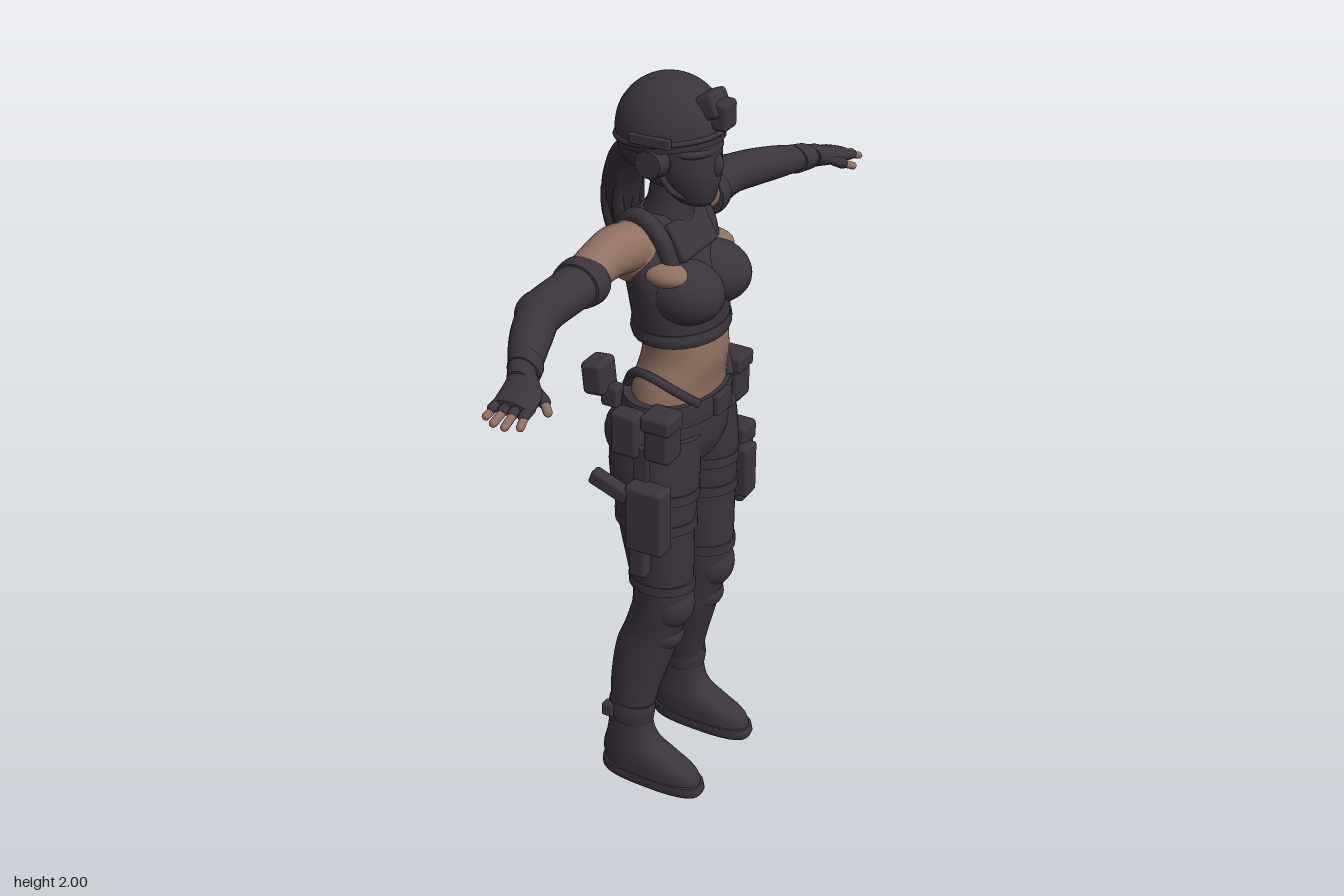
import * as THREE from 'three';
import { RoundedBoxGeometry } from 'three/addons/geometries/RoundedBoxGeometry.js';

const cloth = new THREE.MeshStandardMaterial({ color: 0x3b343c, side: THREE.DoubleSide });
cloth.name = 'dark cloth';
const skin = new THREE.MeshStandardMaterial({ color: 0x8f7060 });
skin.name = 'skin';
const hair = new THREE.MeshStandardMaterial({ color: 0x352e36 });
hair.name = 'hair';

// Smooth closed body through sections [t, centreA, centreB, radiusA, radiusB].
// Along 'y' A,B are x,z; along 'z' they are x,y. A power below 1 squares the section.
function loft(sections, axis = 'y', power = 1, n = 28, sub = 4) {
  const rows = [];
  for (let i = 0; i < sections.length - 1; i++) {
    const [p0, p1, p2, p3] = [-1, 0, 1, 2].map(k =>
      sections[Math.min(Math.max(i + k, 0), sections.length - 1)]);
    for (let s = 0; s < sub; s++) {
      const u = s / sub;
      rows.push(p1.map((v, k) => 0.5 * (2 * v + (p2[k] - p0[k]) * u
        + (2 * p0[k] - 5 * v + 4 * p2[k] - p3[k]) * u * u
        + (3 * v - p0[k] - 3 * p2[k] + p3[k]) * u * u * u)));
    }
  }
  rows.push(sections[sections.length - 1]);
  const pos = [], idx = [];
  const put = (t, a, b) => (axis === 'y' ? pos.push(a, t, b) : pos.push(a, b, t));
  const bend = v => Math.sign(v) * Math.abs(v) ** power;
  for (const [t, a, b, ra, rb] of rows) {
    for (let j = 0; j < n; j++) {
      const th = (j / n) * Math.PI * 2;
      put(t, a + ra * bend(Math.cos(th)), b + rb * bend(Math.sin(th)));
    }
  }
  const last = rows.length - 1;
  const flip = (axis === 'y') !== (rows[last][0] < rows[0][0]);
  const tri = (a, b, c) => (flip ? idx.push(a, c, b) : idx.push(a, b, c));
  for (let i = 0; i < last; i++) {
    for (let j = 0; j < n; j++) {
      const a = i * n + j, b = i * n + (j + 1) % n;
      tri(a, b, a + n);
      tri(b, b + n, a + n);
    }
  }
  // end caps with their own corners so the rims stay crisp
  for (const [row, front] of [[0, false], [last, true]]) {
    const base = pos.length / 3;
    for (let j = 0; j < n; j++) pos.push(...pos.slice((row * n + j) * 3, (row * n + j) * 3 + 3));
    put(rows[row][0], rows[row][1], rows[row][2]);
    for (let j = 0; j < n; j++) {
      const a = base + j, b = base + (j + 1) % n;
      front ? tri(a, b, base + n) : tri(b, a, base + n);
    }
  }
  const g = new THREE.BufferGeometry();
  g.setAttribute('position', new THREE.Float32BufferAttribute(pos, 3));
  g.setIndex(idx);
  g.computeVertexNormals();
  return g;
}

const ball = (x, y, z, rx, ry, rz) => new THREE.SphereGeometry(1, 28, 20).scale(rx, ry, rz).translate(x, y, z);
const box = (x, y, z, w, h, d, tilt = 0) =>
  new RoundedBoxGeometry(w, h, d, 2, Math.min(w, h, d) * 0.22).rotateZ(tilt).translate(x, y, z);

// Rounded rod between two points
function rod(a, b, r) {
  const p = new THREE.Vector3(...a), d = new THREE.Vector3(...b).sub(p);
  const q = new THREE.Quaternion().setFromUnitVectors(new THREE.Vector3(0, 1, 0), d.clone().normalize());
  return new THREE.CapsuleGeometry(r, d.length(), 4, 10).applyQuaternion(q).translate(...p.addScaledVector(d, 0.5).toArray());
}

const tube = (pts, r) => new THREE.TubeGeometry(
  new THREE.CatmullRomCurve3(pts.map(p => new THREE.Vector3(...p))), 24, r, 8);

export function createModel() {
  const model = new THREE.Group();
  const add = (name, geo, mat = cloth) => {
    const m = new THREE.Mesh(geo, mat);
    m.name = name;
    model.add(m);
  };

  // Head and helmet
  add('head', ball(0.05, 1.83, 0, 0.11, 0.12, 0.088));
  add('faceMask', loft([[1.69, 0.11, 0, 0.035, 0.03], [1.71, 0.1, 0, 0.057, 0.052], [1.76, 0.085, 0, 0.082, 0.075],
    [1.81, 0.075, 0, 0.092, 0.085], [1.87, 0.065, 0, 0.1, 0.088]]));
  add('nose', ball(0.162, 1.795, 0, 0.016, 0.03, 0.018));
  add('goggles', ball(0.1, 1.835, 0, 0.068, 0.027, 0.083));
  add('helmetShell', new THREE.SphereGeometry(1, 36, 20, 0, Math.PI * 2, 0, Math.PI * 0.57)
    .scale(0.136, 0.131, 0.123).rotateZ(0.12).translate(0.037, 1.869, 0));
  add('helmetBack', ball(-0.012, 1.84, 0, 0.08, 0.085, 0.1));
  add('helmetBrim', new THREE.TorusGeometry(1, 0.06, 8, 40).rotateX(Math.PI / 2)
    .scale(0.134, 0.13, 0.121).rotateZ(0.12).translate(0.037, 1.862, 0));
  add('helmetMount', box(0.175, 1.925, 0, 0.05, 0.07, 0.06));
  add('helmetMountPlate', box(0.15, 1.945, 0, 0.05, 0.06, 0.08, 0.4));

  // Neck, top and midriff
  add('collar', loft([[1.6, 0.02, 0, 0.075, 0.08], [1.65, 0.03, 0, 0.065, 0.066], [1.7, 0.04, 0, 0.056, 0.056], [1.78, 0.05, 0, 0.055, 0.055]]));
  add('cropTop', loft([[1.355, 0.07, 0, 0.112, 0.137], [1.42, 0.067, 0, 0.117, 0.146], [1.5, 0.052, 0, 0.113, 0.154],
    [1.56, 0.03, 0, 0.1, 0.148], [1.61, 0.015, 0, 0.085, 0.13], [1.645, 0.015, 0, 0.07, 0.1], [1.665, 0.02, 0, 0.055, 0.07]]));
  add('topHem', loft([[1.35, 0.07, 0, 0.117, 0.142], [1.365, 0.07, 0, 0.121, 0.146], [1.385, 0.069, 0, 0.118, 0.144]]));
  add('midriff', loft([[1.14, 0.06, 0, 0.11, 0.165], [1.22, 0.068, 0, 0.106, 0.152], [1.3, 0.083, 0, 0.105, 0.123],
    [1.38, 0.075, 0, 0.103, 0.13]]), skin);
  add('chestPlate', box(0.085, 1.6, 0, 0.05, 0.1, 0.17, 0.5));

  // Hips, belt and buckle
  add('trouserHips', loft([[0.97, 0.05, 0, 0.06, 0.09], [1.0, 0.048, 0, 0.105, 0.15], [1.05, 0.048, 0, 0.127, 0.187],
    [1.11, 0.052, 0, 0.127, 0.183], [1.18, 0.06, 0, 0.116, 0.172]]));
  add('belt', loft([[1.135, 0.058, 0, 0.127, 0.184], [1.165, 0.059, 0, 0.128, 0.183], [1.195, 0.06, 0, 0.123, 0.178]]));
  add('buckle', box(0.188, 1.165, 0, 0.02, 0.055, 0.075));

  // Ponytail, swept to one side
  add('hairTie', ball(-0.085, 1.79, -0.045, 0.035, 0.035, 0.035), hair);
  add('ponytail', loft([[1.82, -0.07, -0.035, 0.02, 0.025], [1.77, -0.105, -0.06, 0.045, 0.048],
    [1.71, -0.14, -0.095, 0.05, 0.062], [1.64, -0.17, -0.125, 0.046, 0.07], [1.55, -0.186, -0.155, 0.038, 0.06],
    [1.47, -0.192, -0.178, 0.028, 0.04], [1.41, -0.195, -0.2, 0.006, 0.008]]), hair);
  for (let i = 0; i < 6; i++) {
    const a = i * 1.05, c = Math.cos(a), d = Math.sin(a);
    add('hairLock', loft([[1.75, -0.12 + c * 0.03, -0.075 + d * 0.035, 0.012, 0.018],
      [1.64, -0.17 + c * 0.034, -0.125 + d * 0.056, 0.014, 0.02], [1.53, -0.185 + c * 0.03, -0.155 + d * 0.055, 0.012, 0.018],
      [1.43 - 0.018 * (i % 3) + 0.02, -0.192 + c * 0.018, -0.185 + d * 0.035, 0.002, 0.003]], 'y', 1, 10), hair);
  }

  // Everything that comes in pairs
  for (const s of [1, -1]) {
    const side = list => list.map(([y, x, z, rx, rz]) => [y, x, z * s, rx, rz]);
    const out = list => list.map(([z, ...rest]) => [z * s, ...rest]);

    add('earCup', new THREE.CylinderGeometry(0.034, 0.042, 0.035, 24).rotateX(s * Math.PI / 2).translate(0.045, 1.815, s * 0.108));
    add('helmetRail', box(0.05, 1.875, s * 0.122, 0.11, 0.025, 0.016));
    add('chinStrap', tube([[0.05, 1.8, s * 0.09], [0.08, 1.74, s * 0.075], [0.12, 1.705, s * 0.03]], 0.008));

    // Torso halves
    add('bust', ball(0.115, 1.482, s * 0.07, 0.105, 0.082, 0.085));
    add('shoulderBlade', ball(-0.008, 1.575, s * 0.1, 0.077, 0.08, 0.066), skin);
    add('underarm', ball(0.09, 1.54, s * 0.115, 0.06, 0.03, 0.044), skin);
    add('shoulderStrap', tube([[0.1, 1.55, s * 0.1], [0.07, 1.625, s * 0.105], [0.01, 1.665, s * 0.095], [-0.05, 1.63, s * 0.075], [-0.07, 1.55, s * 0.05]], 0.022));
    add('hipStrap', tube([[0.165, 1.19, s * 0.085], [0.12, 1.24, s * 0.132], [0.065, 1.265, s * 0.143], [0.0, 1.25, s * 0.115], [-0.04, 1.19, s * 0.085]], 0.012));
    add('buttock', ball(0.005, 1.065, s * 0.08, 0.103, 0.095, 0.088));

    // Arm
    add('upperArm', loft(out([[0.09, -0.005, 1.585, 0.07, 0.065], [0.16, -0.015, 1.6, 0.066, 0.062],
      [0.22, -0.025, 1.595, 0.057, 0.055], [0.32, -0.03, 1.575, 0.052, 0.05]]), 'z'), skin);
    add('sleeve', loft(out([[0.285, -0.03, 1.572, 0.06, 0.054], [0.36, -0.035, 1.567, 0.057, 0.052], [0.46, -0.043, 1.558, 0.055, 0.052],
      [0.54, -0.015, 1.555, 0.055, 0.05], [0.62, 0.02, 1.55, 0.05, 0.044], [0.69, 0.055, 1.545, 0.04, 0.034], [0.74, 0.08, 1.54, 0.036, 0.029]]), 'z'));
    add('armBand', loft(out([[0.28, -0.03, 1.572, 0.066, 0.058], [0.3, -0.03, 1.571, 0.07, 0.061], [0.33, -0.032, 1.57, 0.065, 0.057]]), 'z'));
    add('elbowPad', ball(-0.055, 1.557, s * 0.46, 0.047, 0.05, 0.065));
    add('wristCuff', loft(out([[0.66, 0.045, 1.546, 0.046, 0.04], [0.7, 0.062, 1.544, 0.043, 0.037]]), 'z'));
    add('glove', loft(out([[0.71, 0.07, 1.542, 0.037, 0.03], [0.75, 0.095, 1.537, 0.048, 0.027], [0.79, 0.105, 1.53, 0.051, 0.022],
      [0.82, 0.107, 1.526, 0.048, 0.015]]), 'z'));
    for (let i = 0; i < 4; i++) {
      const x = 0.07 + i * 0.025, tip = [0.85, 0.868, 0.87, 0.855][i];
      add('gloveFinger', rod([x, 1.527, s * 0.8], [x - 0.002 + i * 0.001, 1.521, s * 0.83], 0.0125));
      add('finger', rod([x, 1.523, s * 0.82], [x - 0.006 + i * 0.005, 1.51, s * tip], 0.0095), skin);
    }
    add('gloveThumb', rod([0.115, 1.535, s * 0.74], [0.15, 1.522, s * 0.755], 0.015));
    add('thumb', rod([0.15, 1.522, s * 0.755], [0.172, 1.512, s * 0.775], 0.0105), skin);

    // Leg
    add('trouserLeg', loft(side([[0.2, 0.003, 0.145, 0.056, 0.046], [0.3, 0.008, 0.132, 0.07, 0.058], [0.42, 0.03, 0.115, 0.083, 0.071],
      [0.5, 0.055, 0.11, 0.08, 0.07], [0.6, 0.08, 0.11, 0.08, 0.073], [0.7, 0.075, 0.112, 0.09, 0.078],
      [0.8, 0.065, 0.113, 0.1, 0.085], [0.9, 0.058, 0.11, 0.113, 0.09], [1.0, 0.052, 0.104, 0.124, 0.094], [1.1, 0.052, 0.095, 0.12, 0.085]])));
    add('kneePad', ball(0.108, 0.59, s * 0.112, 0.062, 0.075, 0.064));
    add('shinPad', ball(0.082, 0.485, s * 0.112, 0.058, 0.05, 0.055));
    for (const [y, x, z, rx, rz] of [[0.66, 0.079, 0.111, 0.091, 0.079], [0.85, 0.061, 0.111, 0.112, 0.092], [0.94, 0.055, 0.108, 0.122, 0.096]])
      add('legStrap', loft(side([[y - 0.014, x, z, rx, rz], [y + 0.014, x, z, rx, rz]])));

    // Boot
    add('bootSole', loft(side([[0, 0.07, 0.144, 0.15, 0.05], [0.012, 0.07, 0.144, 0.155, 0.055], [0.035, 0.068, 0.144, 0.153, 0.055]]), 'y', 0.75));
    add('boot', loft(side([[0.03, 0.068, 0.144, 0.148, 0.052], [0.065, 0.06, 0.144, 0.143, 0.052], [0.095, 0.035, 0.144, 0.115, 0.05],
      [0.13, 0.01, 0.145, 0.08, 0.046], [0.18, 0.002, 0.146, 0.064, 0.044], [0.25, 0.003, 0.145, 0.06, 0.047]]), 'y', 0.85));
    add('ankleBand', loft(side([[0.195, 0.002, 0.145, 0.064, 0.05], [0.225, 0.003, 0.145, 0.068, 0.053], [0.255, 0.005, 0.144, 0.065, 0.051]])));
    add('ankleBuckle', box(-0.045, 0.225, s * 0.185, 0.035, 0.04, 0.03));

    // Belt pouches
    add('beltPouch', box(0.12, 1.135, s * 0.185, 0.075, 0.13, 0.075));
    add('pouchFlap', box(0.12, 1.18, s * 0.188, 0.083, 0.045, 0.082));
    add('sidePouch', box(0.03, 1.13, s * 0.2, 0.075, 0.12, 0.055));
  }

  // Gear on the +z hip and thigh
  add('backPouch', box(-0.09, 1.23, 0.135, 0.062, 0.09, 0.08, 0.1));
  add('pouchBracket', box(-0.055, 1.18, 0.13, 0.05, 0.06, 0.04));
  add('holster', box(0.1, 0.91, 0.222, 0.11, 0.19, 0.06));
  add('holsterTip', box(0.07, 0.79, 0.212, 0.05, 0.13, 0.04));
  add('pistolGrip', box(0.0, 0.985, 0.238, 0.11, 0.04, 0.035, -0.35));
  add('holsterHanger', box(0.07, 1.03, 0.2, 0.04, 0.14, 0.02));

  // Gear on the -z thigh
  add('thighPouch', box(0.1, 0.86, -0.215, 0.12, 0.23, 0.065));
  add('thighPouchFlap', box(0.1, 0.95, -0.218, 0.128, 0.06, 0.072));
  add('thighPouchFront', box(0.165, 0.86, -0.185, 0.04, 0.15, 0.06));
  add('thighHanger', box(0.08, 1.02, -0.2, 0.04, 0.14, 0.02));

  return model;
}
